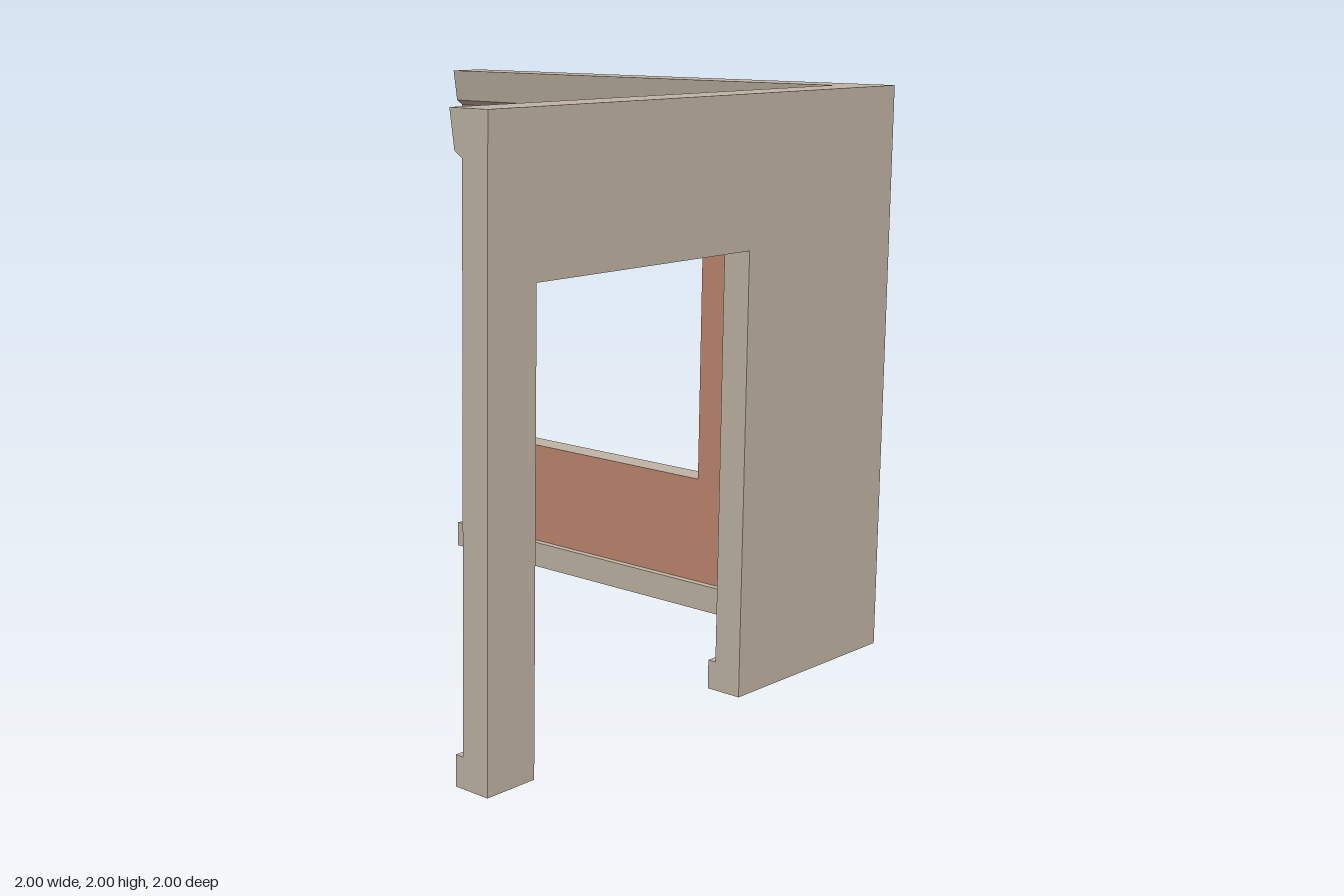
import * as THREE from 'three';

const stone = new THREE.MeshStandardMaterial({ color: 0xbfb4a3 });
stone.name = 'warm grey plaster';
const clay = new THREE.MeshStandardMaterial({ color: 0xc0876f });
clay.name = 'terracotta paint';

const T = 0.1; // wall thickness
const IN = 1 - T; // distance of the inner wall faces from the centre

function polygon(points) {
  return new THREE.Shape(points.map(([x, y]) => new THREE.Vector2(x, y)));
}

function rect(x0, y0, x1, y1) {
  return polygon([[x0, y0], [x1, y0], [x1, y1], [x0, y1]]);
}

function extrude(shape, depth) {
  return new THREE.ExtrudeGeometry(shape, { depth, bevelEnabled: false });
}

export function createModel() {
  const group = new THREE.Group();

  function add(name, geometry, material, x, y, z, turn = 0) {
    const mesh = new THREE.Mesh(geometry, material);
    mesh.name = name;
    mesh.position.set(x, y, z);
    mesh.rotation.y = turn;
    group.add(mesh);
  }

  // Back wall with a window opening
  const windowHole = rect(-0.87, 0.5, 0.26, 1.5);
  const backShape = rect(-1, 0, IN, 2);
  backShape.holes.push(windowHole);
  add('backWall', extrude(backShape, T), stone, 0, 0, -1);

  // Painted inner face of the back wall
  const paintShape = rect(-1, 0.1, IN, 1.86);
  paintShape.holes.push(windowHole);
  add('paintedWallFace', new THREE.ShapeGeometry(paintShape), clay, 0, 0, -IN + 0.001);

  // Side wall with a doorway, drawn with -z running right
  const sideShape = polygon([
    [-1, 0], [-0.8, 0], [-0.8, 1.5], [0.2, 1.5], [0.2, 0], [1, 0], [1, 2], [-1, 2],
  ]);
  add('sideWall', extrude(sideShape, T), stone, IN, 0, 0, Math.PI / 2);

  // Mouldings: profile x is the distance out from the wall face
  const skirting = rect(0, 0, 0.03, 0.1);
  const crown = polygon([[0, 1.86], [0.03, 1.88], [0.05, 2], [0, 2]]);

  // Along the back wall
  add('backSkirting', extrude(skirting, 1 + IN), stone, IN, 0, -IN, -Math.PI / 2);
  add('backCrown', extrude(crown, 1 + IN), stone, IN, 0, -IN, -Math.PI / 2);

  // Along the side wall, the skirting broken by the doorway
  add('sideCrown', extrude(crown, 1 + IN), stone, IN, 0, 1, Math.PI);
  add('frontSideSkirting', extrude(skirting, 0.2), stone, IN, 0, 1, Math.PI);
  add('rearSideSkirting', extrude(skirting, IN - 0.2), stone, IN, 0, -0.2, Math.PI);

  return group;
}
